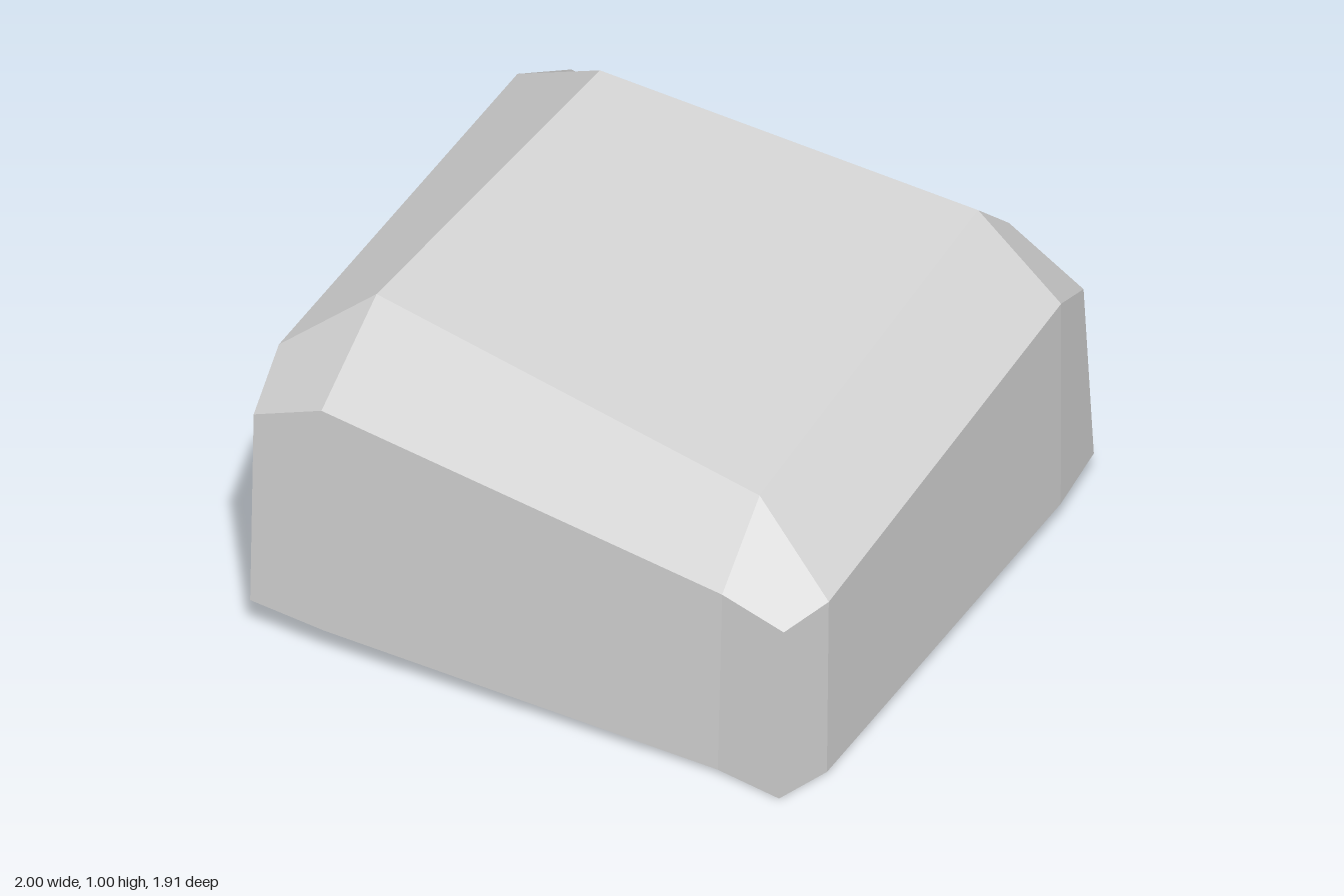
import * as THREE from 'three';

const stone = new THREE.MeshStandardMaterial({ color: 0xd2d2d2 });
stone.name = 'pale grey stone';

// Height of the tilted plane the rock rests on
const baseY = (x, z) => 0.02 * (x + 0.41) - 0.084 * (z - 0.93);

// Four corners, anticlockwise from above. Each has a cap point, three points
// round its upper rim, three round its foot (x, z) and a point of the hollow below.
const corners = [
  { // front right
    cap: [-0.30, 0.74, 0.72],
    rim: [[-0.47, 0.56, 0.79], [-0.41, 0.515, 0.955], [-0.26, 0.53, 0.94]],
    foot: [[-0.46, 0.76], [-0.405, 0.93], [-0.25, 0.92]],
    hollow: [-0.34, 0.215, 0.73],
  },
  { // front left
    cap: [0.70, 0.90, 0.30],
    rim: [[0.79, 0.70, 0.51], [0.945, 0.61, 0.40], [0.865, 0.735, 0.21]],
    foot: [[0.82, 0.47], [1.0, 0.37], [0.915, 0.18]],
    hollow: [0.72, 0.285, 0.30],
  },
  { // back left
    cap: [0.29, 0.95, -0.66],
    rim: [[0.48, 0.705, -0.79], [0.41, 0.745, -0.925], [0.225, 0.83, -0.90]],
    foot: [[0.49, -0.81], [0.41, -0.955], [0.235, -0.935]],
    hollow: [0.29, 0.41, -0.67],
  },
  { // back right
    cap: [-0.74, 1.0, -0.22],
    rim: [[-0.86, 0.77, -0.45], [-1.0, 0.67, -0.37], [-0.925, 0.745, -0.20]],
    foot: [[-0.85, -0.48], [-0.995, -0.39], [-0.92, -0.20]],
    hollow: [-0.81, 0.33, -0.25],
  },
];

// Mesh from four-sided facets, each with a single normal so it shades as one plane
function facets(name, quads) {
  const positions = [];
  const normals = [];
  for (const [a, b, c, d] of quads) {
    const across = new THREE.Vector3(...c).sub(new THREE.Vector3(...a));
    const other = new THREE.Vector3(...d).sub(new THREE.Vector3(...b));
    const normal = across.cross(other).normalize().toArray();
    for (const p of [a, b, c, a, c, d]) {
      positions.push(...p);
      normals.push(...normal);
    }
  }
  const geometry = new THREE.BufferGeometry();
  geometry.setAttribute('position', new THREE.Float32BufferAttribute(positions, 3));
  geometry.setAttribute('normal', new THREE.Float32BufferAttribute(normals, 3));
  const mesh = new THREE.Mesh(geometry, stone);
  mesh.name = name;
  return mesh;
}

// Sloping chamfers from a twelve-point ring to four inner points, plus the inner face
function bevelledEnd(ring, inner) {
  const slopes = [];
  for (let k = 0; k < 4; k++) {
    const [first, mid, last] = ring.slice(k * 3, k * 3 + 3);
    const n = (k + 1) % 4;
    slopes.push([first, mid, last, inner[k]]);
    slopes.push([last, ring[n * 3], inner[n], inner[k]]);
  }
  const face = [[inner[1], inner[2], inner[3], inner[0]]];
  return { slopes, face };
}

export function createModel() {
  const rock = new THREE.Group();
  rock.name = 'rock';

  const rim = corners.flatMap((c) => c.rim);
  const foot = corners.flatMap((c) => c.foot.map(([x, z]) => [x, baseY(x, z), z]));

  // Steep sides
  const sides = rim.map((p, i) => {
    const j = (i + 1) % rim.length;
    return [foot[i], foot[j], rim[j], p];
  });
  rock.add(facets('sides', sides));

  // Chamfered top
  const top = bevelledEnd(rim, corners.map((c) => c.cap));
  rock.add(facets('topChamfers', top.slopes), facets('topFace', top.face));

  // Recessed underside, turned to face down
  const under = bevelledEnd(foot, corners.map((c) => c.hollow));
  const flip = (quads) => quads.map(([a, b, c, d]) => [a, d, c, b]);
  rock.add(facets('undersideSlopes', flip(under.slopes)), facets('undersideFace', flip(under.face)));

  return rock;
}
